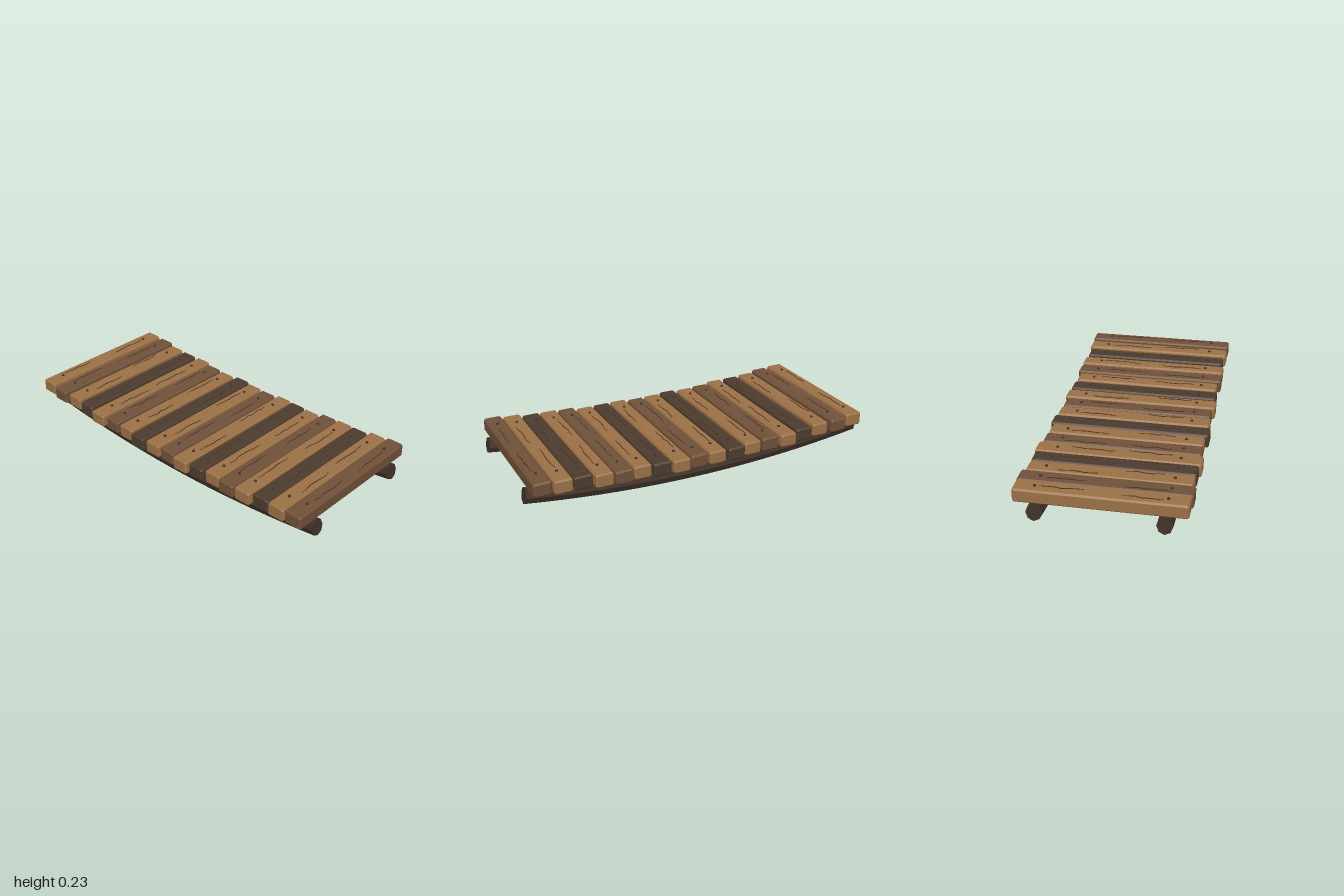
import * as THREE from 'three';

const paint = (color) => new THREE.MeshStandardMaterial({ color, flatShading: true });

// Small seeded generator for the irregular cracks
function seeded(seed) {
  let s = seed;
  return () => (s = (s * 16807) % 2147483647) / 2147483647;
}

// Plank: chamfered cross-section extruded along z with bevelled ends
function plankGeometry(width, height, length) {
  const b = 0.008, c = 0.004;
  const w = width / 2 - b, h = height / 2 - b;
  const shape = new THREE.Shape([
    [-w + c, -h], [w - c, -h], [w, -h + c], [w, h - c],
    [w - c, h], [-w + c, h], [-w, h - c], [-w, -h + c],
  ].map(([x, y]) => new THREE.Vector2(x, y)));
  const geo = new THREE.ExtrudeGeometry(shape, {
    depth: length - 2 * b, bevelEnabled: true, bevelSize: b, bevelThickness: b, bevelSegments: 1,
  });
  return geo.translate(0, 0, -length / 2 + b);
}

// Crack: thin jagged sliver lying on the plank, running along z
function crackGeometry(length, rand) {
  const steps = 6, left = [], right = [];
  for (let i = 0; i <= steps; i++) {
    const t = i / steps;
    const x = (rand() - 0.5) * 0.012;
    const half = 0.0006 + 0.0014 * Math.sin(Math.PI * t);
    left.push(new THREE.Vector2(x - half, (t - 0.5) * length));
    right.unshift(new THREE.Vector2(x + half, (t - 0.5) * length));
  }
  const geo = new THREE.ExtrudeGeometry(new THREE.Shape([...left, ...right]), { depth: 0.004, bevelEnabled: false });
  return geo.rotateX(-Math.PI / 2);
}

// Beam: eight-sided log bent into a shallow sag
function beamGeometry() {
  const geo = new THREE.CylinderGeometry(0.046, 0.046, 1.987, 8, 20).rotateZ(Math.PI / 2).scale(1, 1, 0.89);
  const p = geo.attributes.position;
  for (let i = 0; i < p.count; i++) {
    const x = p.getX(i), y = p.getY(i);
    p.setXY(i, x - y * 0.14 * x, y + 0.046 + 0.072 * x * x);
  }
  geo.computeVertexNormals();
  return geo;
}

export function createModel() {
  const model = new THREE.Group();
  const light = paint(0x9a7045), mid = paint(0x6f5038), dark = paint(0x4c3b2d);
  const woods = [light, mid, light, dark];
  const beamWood = paint(0x3f3027), iron = paint(0x3a3633), crackWood = paint(0x4a3423);
  const rand = seeded(77);

  // Two sagging support beams
  const beamGeo = beamGeometry();
  for (const side of [1, -1]) {
    const beam = new THREE.Mesh(beamGeo, beamWood);
    beam.name = side > 0 ? 'frontBeam' : 'backBeam';
    beam.position.z = side * 0.32;
    model.add(beam);
  }

  // Deck planks following the sag, each with nails and cracks
  const halfLengths = [0.432, 0.44, 0.424, 0.428, 0.44, 0.425, 0.422, 0.44, 0.428,
    0.424, 0.438, 0.43, 0.42, 0.438, 0.436, 0.424, 0.436, 0.438];
  const height = 0.075;
  const nailGeo = new THREE.CylinderGeometry(0.008, 0.008, 0.012, 8);
  halfLengths.forEach((half, i) => {
    const x = (i - 8.5) * 0.1092;
    const plank = new THREE.Group();
    plank.name = `plank${i + 1}`;
    plank.position.set(x, 0.1435 + 0.054 * x * x, 0);

    const board = new THREE.Mesh(plankGeometry(0.098, height, half * 2), woods[i % 4]);
    board.name = 'board';
    plank.add(board);

    for (const side of [1, -1]) {
      const nail = new THREE.Mesh(nailGeo, iron);
      nail.name = 'nail';
      nail.position.set(0, height / 2, side * 0.327);
      plank.add(nail);

      const crack = new THREE.Mesh(crackGeometry(0.2 + rand() * 0.04, rand), crackWood);
      crack.name = 'crack';
      crack.position.set((rand() - 0.5) * 0.05, height / 2 - 0.001, side * 0.17 + (rand() - 0.5) * 0.07);
      plank.add(crack);
    }
    model.add(plank);
  });
  return model;
}
